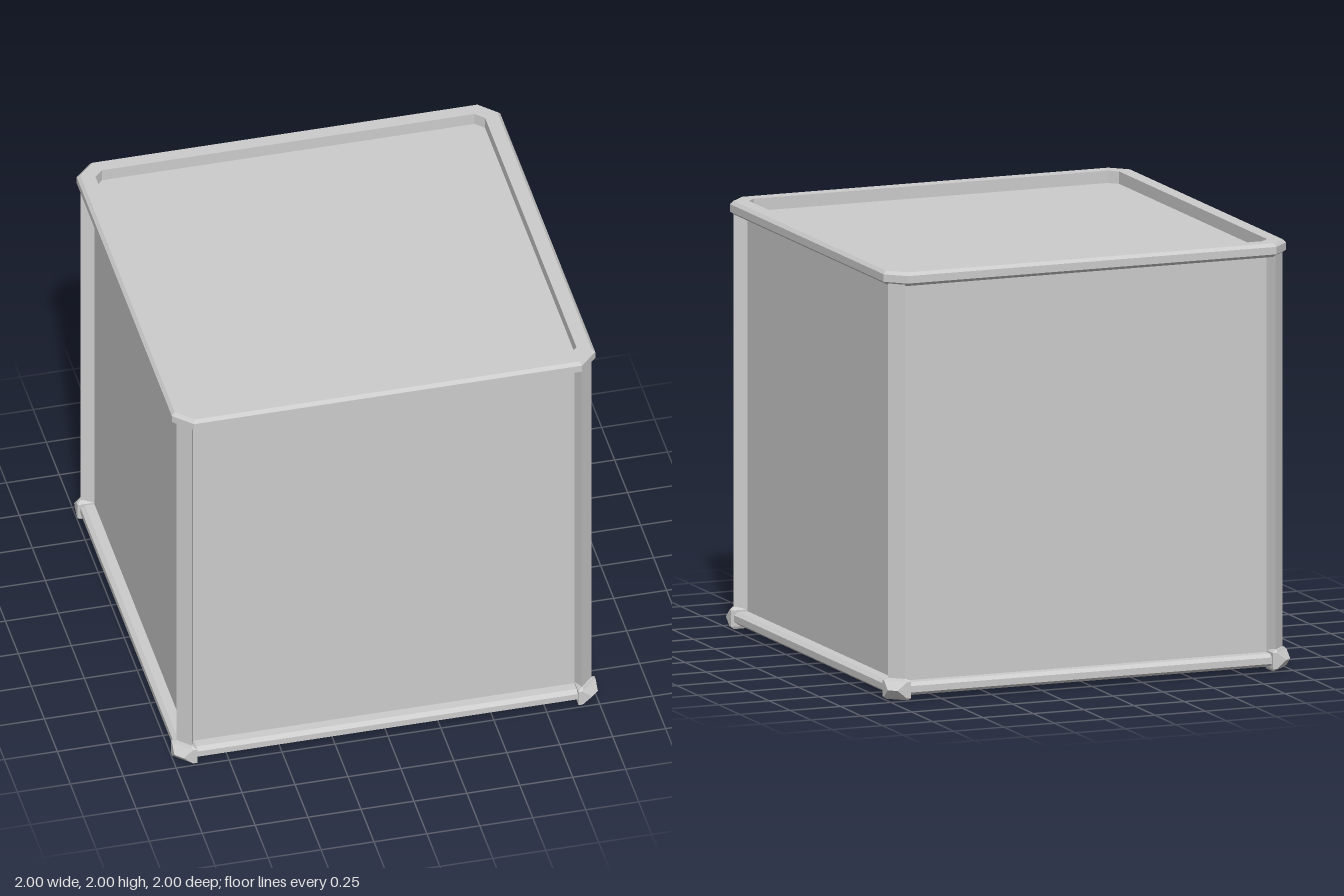
import * as THREE from 'three';

const solid = new THREE.MeshStandardMaterial({ color: 0xcccccc, flatShading: true });
const sheet = new THREE.MeshStandardMaterial({ color: 0xcccccc, side: THREE.DoubleSide });

// Joins equal-length loops of [x, y, z] points; either closes on itself or gets end caps.
function loft(loops, closed) {
  const pos = [];
  const tri = (a, b, c) => pos.push(...a, ...b, ...c);
  const n = loops[0].length;
  const count = closed ? loops.length : loops.length - 1;
  for (let j = 0; j < count; j++) {
    const lo = loops[j], hi = loops[(j + 1) % loops.length];
    for (let i = 0; i < n; i++) {
      const k = (i + 1) % n;
      tri(lo[i], lo[k], hi[k]);
      tri(lo[i], hi[k], hi[i]);
    }
  }
  if (!closed) {
    // Fan from point 2, the inner corner
    const top = loops[loops.length - 1], base = loops[0];
    for (let i = 1; i < n - 1; i++) {
      const p = (2 + i) % n, q = (3 + i) % n;
      tri(top[2], top[p], top[q]);
      tri(base[2], base[q], base[p]);
    }
  }
  const geo = new THREE.BufferGeometry();
  geo.setAttribute('position', new THREE.Float32BufferAttribute(pos, 3));
  geo.computeVertexNormals();
  return geo;
}

// Square loop with cut corners at half-width r and height y
function squareLoop([r, y]) {
  const s = r - (0.04 + 0.55 * (r - 0.92));
  return [[r, s], [r, -s], [s, -r], [-s, -r], [-r, -s], [-r, s], [-s, r], [s, r]]
    .map(([x, z]) => [x, y, z]);
}

// Corner block loop: outer reach o, corner cut c, inner reach i
function cornerLoop([y, o, c, i]) {
  return [[o, o - c], [o, i], [i, i], [i, o], [o - c, o]].map(([x, z]) => [x, y, z]);
}

export function createModel() {
  const group = new THREE.Group();
  const add = (name, geo, mat = solid) => {
    const mesh = new THREE.Mesh(geo, mat);
    mesh.name = name;
    group.add(mesh);
    return mesh;
  };

  // Bevelled frames around the top and the open bottom
  const rimProfile = [[0.92, 1.935], [0.98, 1.935], [1, 1.95], [1, 1.985], [0.985, 2], [0.92, 2]];
  const railProfile = [[0.9, 0.02], [0.965, 0.02], [0.985, 0.035], [0.985, 0.065], [0.965, 0.08], [0.9, 0.08]];
  add('topRim', loft(rimProfile.map(squareLoop), true));
  add('bottomRail', loft(railProfile.map(squareLoop), true));

  // Recessed lid sheet
  add('topPanel', new THREE.PlaneGeometry(1.86, 1.86).rotateX(-Math.PI / 2).translate(0, 1.942, 0), sheet);

  // Corner post with a trapezoid section
  const postLoop = (y) => [[0.98, 0.92], [0.92, 0.9], [0.9, 0.92], [0.92, 0.98]].map(([x, z]) => [x, y, z]);
  const postGeo = loft([postLoop(0.06), postLoop(1.945)], false);

  // Faceted foot, widest at its middle ridge
  const footGeo = loft([
    [0, 0.985, 0.075, 0.905],
    [0.012, 1, 0.08, 0.9],
    [0.05, 1, 0.035, 0.9],
    [0.088, 1, 0.08, 0.9],
    [0.1, 0.985, 0.06, 0.915],
  ].map(cornerLoop), false);

  const wallGeo = new THREE.PlaneGeometry(1.83, 1.9).translate(0, 0.992, 0.92);

  // One wall, post and foot per side
  ['front', 'left', 'back', 'right'].forEach((side, i) => {
    const turn = i * Math.PI / 2;
    add(side + 'Panel', wallGeo, sheet).rotation.y = turn;
    add('cornerPost' + (i + 1), postGeo).rotation.y = turn;
    add('cornerFoot' + (i + 1), footGeo).rotation.y = turn;
  });

  return group;
}
